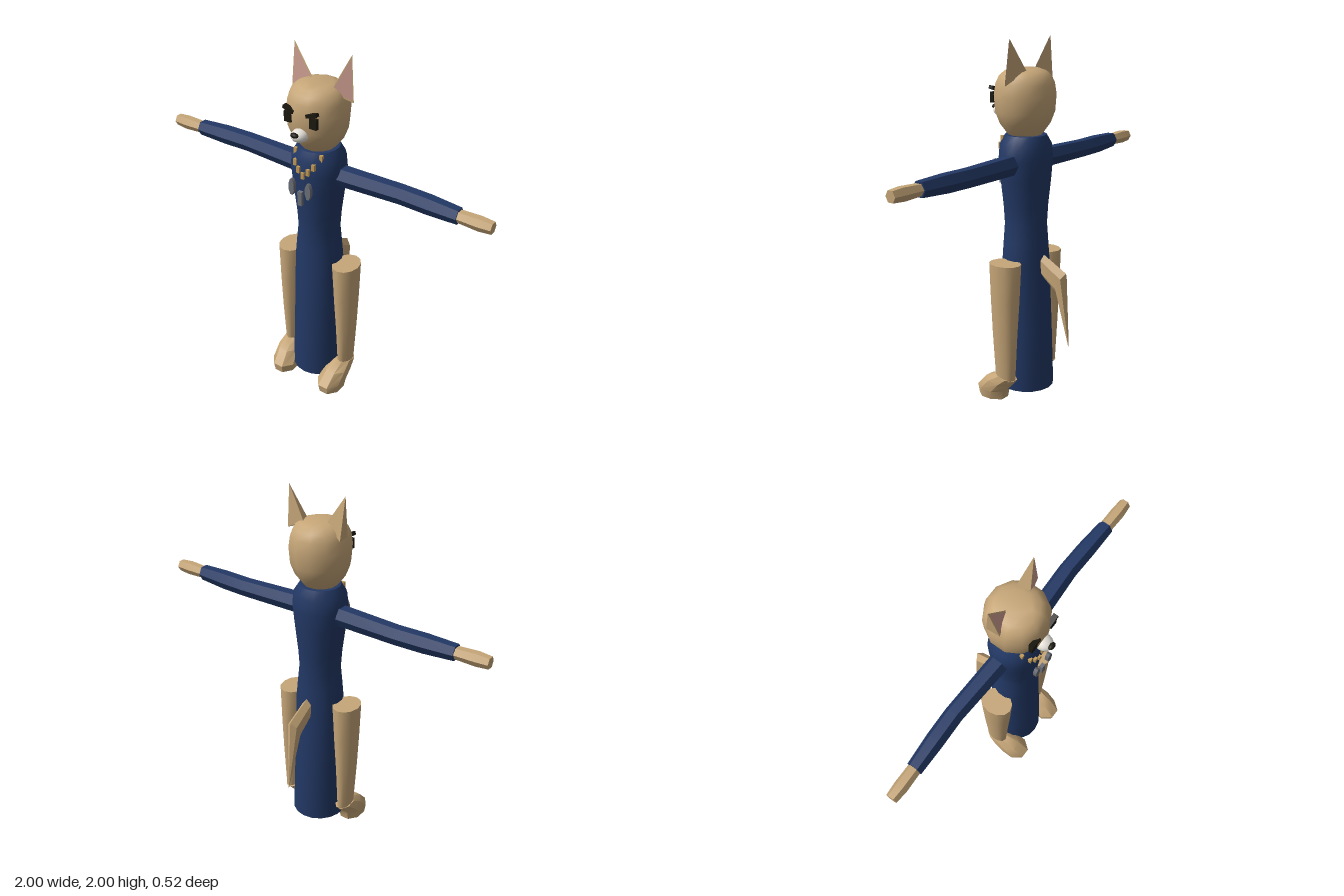
import * as THREE from 'three';
import { toCreasedNormals } from 'three/addons/utils/BufferGeometryUtils.js';
import { ConvexGeometry } from 'three/addons/geometries/ConvexGeometry.js';

const V = (x, y, z) => new THREE.Vector3(x, y, z);

function material(name, color, side = THREE.FrontSide) {
  const m = new THREE.MeshStandardMaterial({ color, side });
  m.name = name;
  return m;
}

// Elliptical ring of n points around c, spanned by half axes u and v
function ring(c, u, v, n, turn = 0) {
  return Array.from({ length: n }, (_, i) => {
    const a = turn + (i / n) * Math.PI * 2;
    return c.clone().addScaledVector(u, Math.cos(a)).addScaledVector(v, Math.sin(a));
  });
}

// Skin over successive rings, capped at both ends; u x v points along the run
function loft(rings, crease = 0.9) {
  const p = [];
  const tri = (...pts) => pts.forEach((q) => p.push(q.x, q.y, q.z));
  const n = rings[0].length;
  for (let k = 0; k < rings.length - 1; k++) {
    for (let i = 0; i < n; i++) {
      const j = (i + 1) % n, a = rings[k], b = rings[k + 1];
      tri(a[i], a[j], b[j]);
      tri(a[i], b[j], b[i]);
    }
  }
  const first = rings[0], last = rings[rings.length - 1];
  for (let i = 1; i < n - 1; i++) {
    tri(first[0], first[i + 1], first[i]);
    tri(last[0], last[i], last[i + 1]);
  }
  const g = new THREE.BufferGeometry();
  g.setAttribute('position', new THREE.Float32BufferAttribute(p, 3));
  return toCreasedNormals(g, crease);
}

// Upright ring: centre x, y, z and half widths
const flatRing = (x, y, z, rx, rz, n, turn = 0) =>
  ring(V(x, y, z), V(0, 0, rz), V(rx, 0, 0), n, turn);

export function createModel() {
  const model = new THREE.Group();
  const fur = material('tan fur', 0xc6a678);
  const cloth = material('navy cloth', 0x223865);
  const pink = material('inner ear pink', 0xc99a8e, THREE.DoubleSide);
  const black = material('black', 0x1b180f);
  const white = material('muzzle white', 0xe6e2da);
  const grey = material('pendant grey', 0x6c6f78);
  const gold = material('bead gold', 0xc09a58);

  function add(name, geometry, mat, pos) {
    const mesh = new THREE.Mesh(geometry, mat);
    mesh.name = name;
    if (pos) mesh.position.set(...pos);
    model.add(mesh);
    return mesh;
  }

  // Long robe: [y, half width, half depth]
  const robe = [
    [0.055, 0.152, 0.157], [0.4, 0.142, 0.146], [0.8, 0.135, 0.126], [0.9, 0.125, 0.121],
    [1.0, 0.113, 0.117], [1.1, 0.12, 0.122], [1.25, 0.14, 0.135], [1.36, 0.153, 0.142],
    [1.44, 0.145, 0.136], [1.49, 0.112, 0.112],
  ];
  add('robe', loft(robe.map(([y, rx, rz]) => flatRing(0, y, 0.037, rx, rz, 18))), cloth);

  // Head: [y, radius]
  const skull = [
    [1.47, 0.075], [1.5, 0.1], [1.55, 0.137], [1.61, 0.16], [1.7, 0.167],
    [1.76, 0.158], [1.8, 0.14], [1.825, 0.112], [1.838, 0.075],
  ];
  add('head', loft(skull.map(([y, r]) => flatRing(0, y, 0.04, r, r, 12, Math.PI / 12)), 1.1), fur);

  // Ears: three-sided cones with a pink front panel; bases are turned alike, not mirrored
  const ears = [
    ['rightEar', V(-0.172, 2, 0.005), V(-0.155, 1.77, 0.055), V(-0.05, 1.83, 0.018), V(-0.16, 1.77, -0.02)],
    ['leftEar', V(0.172, 2, 0.005), V(0.08, 1.8, 0.055), V(0.195, 1.76, 0.018), V(0.065, 1.83, -0.02)],
  ];
  for (const [name, tip, a, b, back] of ears) {
    add(name, new ConvexGeometry([tip, a, b, back]), fur);
    const face = new THREE.Triangle(tip, a, b);
    const mid = face.getMidpoint(V(0, 0, 0)), normal = face.getNormal(V(0, 0, 0));
    const pts = [tip, a, b].map((q) => q.clone().lerp(mid, 0.12).addScaledVector(normal, 0.003));
    const panel = new THREE.BufferGeometry().setFromPoints(pts);
    panel.computeVertexNormals();
    add(name + 'Lining', panel, pink);
  }

  // Muzzle and nose
  add('muzzle', new THREE.SphereGeometry(1, 14, 10).scale(0.045, 0.035, 0.052), white, [0, 1.603, 0.198]);
  add('nose', new THREE.SphereGeometry(1, 10, 6).scale(0.024, 0.014, 0.015), black, [0, 1.62, 0.246]);

  for (const s of [1, -1]) {
    const side = s > 0 ? 'left' : 'right';

    // Eyes and brows
    add(side + 'Eye', new THREE.BoxGeometry(0.042, 0.056, 0.02), black, [s * 0.078, 1.683, 0.19]);
    add(side + 'Brow', new THREE.BoxGeometry(0.065, 0.018, 0.026), black, [s * 0.07, 1.727, 0.193])
      .rotation.z = s * 0.3;

    // Arms: [x, z, half height, half depth], six-sided
    const limb = (rows) => loft(rows.map(([x, z, h, d]) =>
      ring(V(s * x, 1.342, z), V(0, h, 0), V(0, 0, s * d), 6, Math.PI / 2)), 0.5);
    add(side + 'Sleeve', limb([
      [0.14, 0.03, 0.058, 0.055], [0.49, 0.014, 0.053, 0.05],
      [0.65, 0.02, 0.053, 0.05], [0.82, 0.028, 0.044, 0.043],
    ]), cloth);
    add(side + 'Hand', limb([
      [0.815, 0.028, 0.033, 0.036], [0.93, 0.031, 0.039, 0.038], [1.0, 0.031, 0.033, 0.032],
    ]), fur);

    // Legs: [y, x, z, half width, half depth]
    const leg = [
      [0.13, 0.185, 0.037, 0.037, 0.062], [0.4, 0.186, 0.038, 0.052, 0.076],
      [0.6, 0.183, 0.038, 0.064, 0.086], [0.81, 0.18, 0.038, 0.074, 0.094],
    ];
    add(side + 'Leg', loft(leg.map(([y, x, z, rx, rz]) => flatRing(s * x, y, z, rx, rz, 12))), fur);

    // Feet, slanting forward from the ankle
    add(side + 'Foot', loft([
      flatRing(s * 0.162, 0, 0.145, 0.068, 0.09, 8, Math.PI / 8),
      flatRing(s * 0.162, 0.05, 0.145, 0.077, 0.1, 8, Math.PI / 8),
      ring(V(s * 0.17, 0.11, 0.09), V(0, 0.01, 0.09), V(0.07, 0, 0), 8, Math.PI / 8),
      ring(V(s * 0.18, 0.148, 0.035), V(0, 0.012, 0.066), V(0.05, 0, 0), 8, Math.PI / 8),
    ], 0.7), fur);
  }

  // Tail, bent downward to a point
  add('tail', loft([
    ring(V(0, 0.79, -0.06), V(0.03, 0, 0), V(0, -0.06, 0.005), 6, Math.PI / 2),
    ring(V(0, 0.7, -0.203), V(0.035, 0, 0), V(0, -0.06, 0.033), 6, Math.PI / 2),
    ring(V(0, 0.345, -0.258), V(0.002, 0, 0), V(0, 0, 0.002), 6, Math.PI / 2),
  ], 0.5), fur);

  // Beads in a V on the chest
  const beads = [[0, 1.365, 0.18], [0.03, 1.39, 0.176], [0.057, 1.422, 0.165], [0.08, 1.465, 0.13]];
  for (const [x, y, z] of beads) {
    for (const s of x ? [1, -1] : [1]) {
      add('bead', new THREE.BoxGeometry(0.018, 0.036, 0.018), gold, [s * x, y, z]);
    }
  }

  // Hanging pendants
  const pendant = (w, h) => new THREE.CylinderGeometry(0.5, 0.5, 1, 8)
    .rotateY(Math.PI / 8).rotateX(Math.PI / 2).scale(w * 1.08, h * 1.08, 0.02);
  for (const s of [1, -1]) add('sidePendant', pendant(0.034, 0.09), grey, [s * 0.052, 1.297, 0.204]);
  add('middlePendant', new THREE.BoxGeometry(0.026, 0.08, 0.02), grey, [0, 1.242, 0.204]);

  return model;
}
